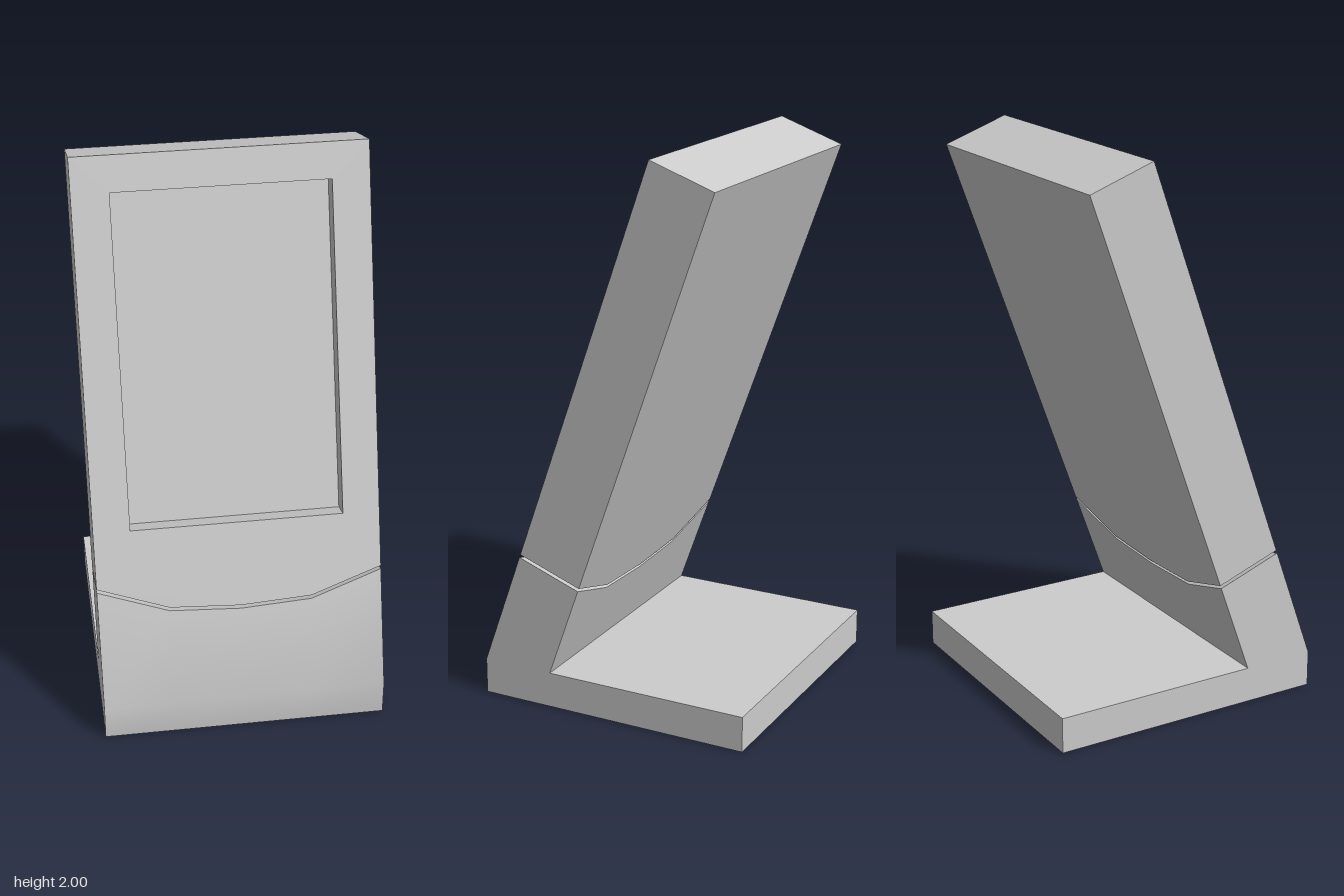
import * as THREE from 'three';
import { toCreasedNormals } from 'three/addons/utils/BufferGeometryUtils.js';

const HALF = 0.512;        // half width and half depth
const BASE = 0.13;         // base plate height
const TILT = 0.3456;       // backward lean of the panel
const THICK = 0.25;        // panel thickness
const RECESS = 0.08;       // screen recess depth
const GAP = 0.012;         // seam between stand and panel
const LENGTH = (2 - BASE) / Math.cos(TILT);

// Seam heights along the slope, at five evenly spaced x positions
const seam = [0.447, 0.357, 0.343, 0.357, 0.447];
const seamX = (i) => -HALF + (i * HALF) / 2;

function createStand(material) {
  const s = Math.sin(TILT), c = Math.cos(TILT);
  const back = HALF - THICK / c;
  // Side profile as [z, y]; the neck top is lifted to the seam afterwards
  const profile = [
    [-HALF, 0], [-HALF, BASE], [back, BASE],
    [HALF - THICK * c, 1 + BASE - THICK * s], [HALF, 1 + BASE],
    [HALF, BASE], [HALF, 0],
  ];
  const shape = new THREE.Shape(profile.map(([z, y]) => new THREE.Vector2(-z, y)));
  const geo = new THREE.ExtrudeGeometry(shape, { depth: 2 * HALF, steps: 4, bevelEnabled: false });
  geo.rotateY(Math.PI / 2);
  geo.translate(-HALF, 0, 0);
  const p = geo.attributes.position;
  for (let i = 0; i < p.count; i++) {
    if (p.getY(i) < 0.5) continue;
    const t = seam[Math.round((p.getX(i) + HALF) / (HALF / 2))];
    p.setY(i, p.getY(i) - 1 + t * c);
    p.setZ(i, p.getZ(i) - t * s);
  }
  const stand = new THREE.Mesh(toCreasedNormals(geo, 0.45), material);
  stand.name = 'stand';
  return stand;
}

// Panel outline in its own tilted plane, with the bowed lower edge
function panelShape() {
  const points = seam.map((t, i) => new THREE.Vector2(seamX(i), t + GAP));
  points.push(new THREE.Vector2(HALF, LENGTH), new THREE.Vector2(-HALF, LENGTH));
  return new THREE.Shape(points);
}

function slab(shape, depth, front, name, material) {
  const geo = new THREE.ExtrudeGeometry(shape, { depth, bevelEnabled: false });
  geo.translate(0, 0, front - depth);
  const mesh = new THREE.Mesh(geo, material);
  mesh.name = name;
  return mesh;
}

export function createModel() {
  const model = new THREE.Group();
  model.name = 'tiltedDisplay';
  const material = new THREE.MeshStandardMaterial({ color: 0xcccccc });

  // L-shaped foot with the lower neck
  model.add(createStand(material));

  // Leaning panel: frame with screen opening, and the solid back behind it
  const panel = new THREE.Group();
  panel.name = 'panel';
  panel.position.set(0, BASE, HALF);
  panel.rotation.x = -TILT;
  const frameShape = panelShape();
  const w = 0.38, low = 0.667, high = 1.86;
  frameShape.holes.push(new THREE.Path([
    new THREE.Vector2(-w, low), new THREE.Vector2(-w, high),
    new THREE.Vector2(w, high), new THREE.Vector2(w, low),
  ]));
  panel.add(slab(frameShape, RECESS, 0, 'screenFrame', material));
  panel.add(slab(panelShape(), THICK - RECESS, -RECESS, 'screenAndBack', material));
  model.add(panel);

  return model;
}
